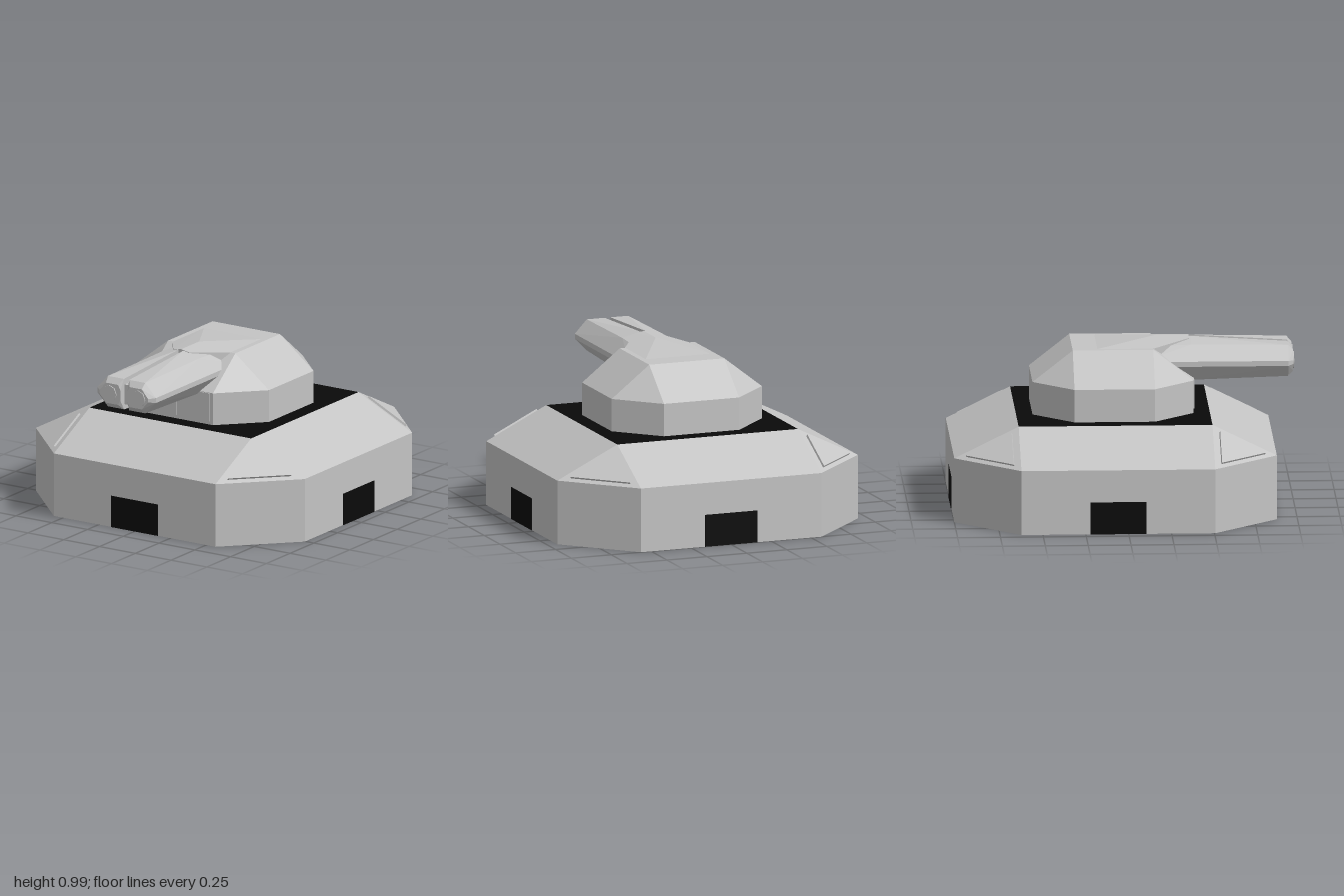
import * as THREE from 'three';
import { ConvexGeometry } from 'three/addons/geometries/ConvexGeometry.js';

const V = (x, y, z) => new THREE.Vector3(x, y, z);

// Flat-faced surface from a list of convex polygons
function polygons(faces) {
  const pos = [];
  for (const f of faces) {
    for (let i = 1; i < f.length - 1; i++) {
      for (const p of [f[0], f[i], f[i + 1]]) pos.push(p.x, p.y, p.z);
    }
  }
  const g = new THREE.BufferGeometry();
  g.setAttribute('position', new THREE.Float32BufferAttribute(pos, 3));
  g.computeVertexNormals();
  return g;
}

// Octagon outline with half width w and half flat side c
const octagon = (w, c, y) => [[-c, w], [c, w], [w, c], [w, -c], [c, -w], [-c, -w], [-w, -c], [-w, c]]
  .map(([x, z]) => V(x, y, z));

export function createModel() {
  const grey = new THREE.MeshStandardMaterial({ color: 0xc4c4c4 });
  const greyShell = new THREE.MeshStandardMaterial({ color: 0xc4c4c4, side: THREE.DoubleSide });
  const black = new THREE.MeshStandardMaterial({ color: 0x0a0a0a, side: THREE.DoubleSide });
  grey.name = 'light grey';
  greyShell.name = 'light grey shell';
  black.name = 'black';

  const model = new THREE.Group();
  const add = (parent, name, geometry, material) => {
    const m = new THREE.Mesh(geometry, material);
    m.name = name;
    parent.add(m);
    return m;
  };
  const box = (parent, name, size, at, material) => {
    const m = add(parent, name, new THREE.BoxGeometry(...size), material);
    m.position.set(...at);
    return m;
  };

  // Hollow base: four equal quarters, open underneath
  const base = new THREE.Group();
  base.name = 'base';
  base.position.z = -0.06;
  model.add(base);
  const W = 0.94, C = 0.565, Y1 = 0.38, Y2 = 0.565;
  const wallFaces = [
    [V(-C, 0, W), V(C, 0, W), V(C, Y1, W), V(-C, Y1, W)],
    [V(-C, Y1, W), V(C, Y1, W), V(C, Y2, C), V(-C, Y2, C)],
    [V(C, 0, W), V(W, 0, C), V(W, Y1, C), V(C, Y1, W)],
  ];
  // Sloped corner with a raised triangular panel
  const onSlope = (u, v) => V(C + u, Y2 - (Y2 - Y1) * (u + v) / (W - C), C + v);
  const normal = V(Y2 - Y1, W - C, Y2 - Y1).normalize().multiplyScalar(0.012);
  const outer = [onSlope(0, 0), onSlope(0, W - C), onSlope(W - C, 0)];
  const inner = [onSlope(0.038, 0.038), onSlope(0.038, 0.305), onSlope(0.305, 0.038)];
  const raised = inner.map(p => p.clone().add(normal));
  const cornerFaces = [raised];
  for (let k = 0; k < 3; k++) {
    const n = (k + 1) % 3;
    cornerFaces.push([outer[k], outer[n], inner[n], inner[k]], [inner[k], inner[n], raised[n], raised[k]]);
  }
  const wallGeo = polygons(wallFaces), cornerGeo = polygons(cornerFaces);
  for (let i = 0; i < 4; i++) {
    const side = new THREE.Group();
    side.name = 'baseSide';
    side.rotation.y = i * Math.PI / 2;
    base.add(side);
    add(side, 'wall', wallGeo, greyShell);
    add(side, 'cornerPanel', cornerGeo, greyShell);
    box(side, 'door', [0.326, 0.19, 0.006], [0, 0.095, W], black);
  }
  add(base, 'deck', polygons([[V(-C, Y2, C), V(C, Y2, C), V(C, Y2, -C), V(-C, Y2, -C)]]), black);

  // Turret: octagonal drum with a sloped roof
  const turret = new THREE.Group();
  turret.name = 'turret';
  model.add(turret);
  const t = 0.235;
  const body = add(turret, 'turretBody', new ConvexGeometry([
    ...octagon(0.47, t, 0.567), ...octagon(0.47, t, 0.76),
    V(-t, 0.945, t), V(t, 0.945, t), V(t, 0.945, -t), V(-t, 0.945, -t),
  ]), grey);
  body.position.z = -0.06;

  // Ridged cover over the gun mount
  const cover = [V(0, 0.985, 0.2), V(0, 0.985, 0.39)];
  for (const s of [-1, 1]) {
    for (const [x, y, z] of [[0.2, 0.945, -0.15], [0.2, 0.945, 0.18], [0.055, 0.975, 0.39],
      [0.2, 0.9, -0.15], [0.2, 0.9, 0.18], [0.055, 0.9, 0.39]]) cover.push(V(s * x, y, z));
  }
  add(turret, 'gunCover', new ConvexGeometry(cover), grey);

  // Twin barrels, deeper towards the turret, with chamfered muzzles
  const rings = [
    [0.1, [[0.205, 0.865], [0.13, 0.94], [0.02, 0.94], [0.02, 0.74], [0.13, 0.75], [0.205, 0.835]]],
    [0.4, [[0.205, 0.865], [0.13, 0.952], [0.055, 0.97], [0.018, 0.98], [0.018, 0.725], [0.13, 0.742], [0.205, 0.835]]],
    [0.965, [[0.205, 0.865], [0.13, 0.945], [0.018, 0.945], [0.018, 0.76], [0.13, 0.76], [0.205, 0.835]]],
    [0.994, [[0.17, 0.86], [0.125, 0.912], [0.04, 0.912], [0.025, 0.88], [0.025, 0.82], [0.04, 0.79], [0.125, 0.79], [0.17, 0.84]]],
  ];
  for (const s of [-1, 1]) {
    const pts = rings.flatMap(([z, ring]) => ring.map(([x, y]) => V(s * x, y, z)));
    add(turret, 'barrel', new ConvexGeometry(pts), grey);
    const bore = add(turret, 'muzzleCap', new THREE.CylinderGeometry(0.05, 0.05, 0.008, 8), grey);
    bore.rotation.x = Math.PI / 2;
    bore.position.set(s * 0.1, 0.851, 0.996);
    // Front panel under each barrel
    box(turret, 'frontPanel', [0.19, 0.17, 0.008], [s * 0.115, 0.672, 0.411], grey);
  }

  // Spine and rungs in the gap between the barrels
  box(turret, 'spine', [0.04, 0.12, 0.62], [0, 0.85, 0.65], grey);
  for (const z of [0.48, 0.55, 0.7]) {
    box(turret, 'rung', [0.04, 0.16, 0.03], [0, 0.855, z], grey);
  }
  return model;
}
